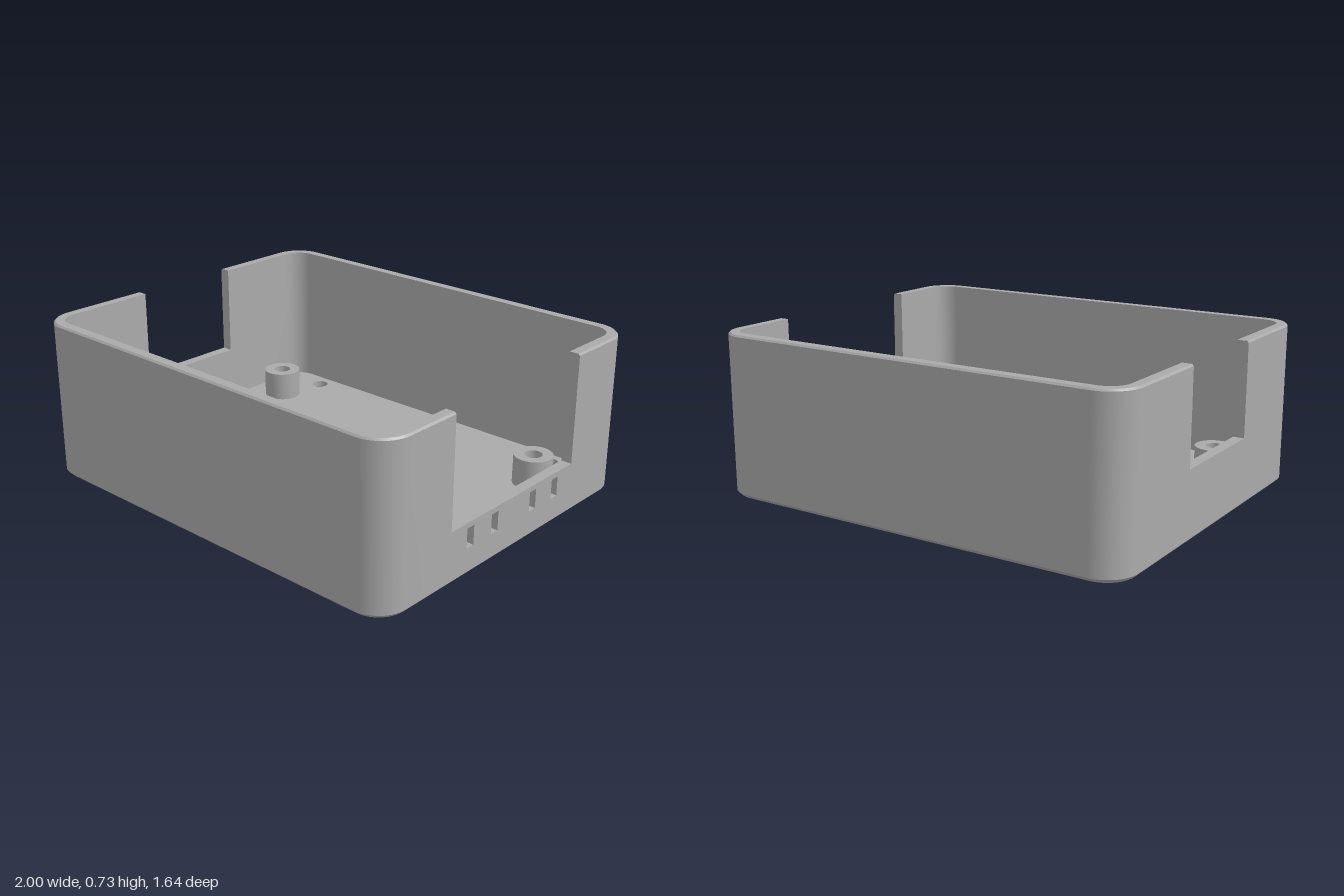
import * as THREE from 'three';
import { toCreasedNormals } from 'three/addons/utils/BufferGeometryUtils.js';

const HX = 1, HZ = 0.818, H = 0.732, R = 0.14;     // half sizes, height, corner radius
const WALL = 0.05, FLOOR = 0.06, CH = 0.018;       // wall, floor and bottom chamfer
const NOTCH_R = { half: 0.415, sill: 0.237 };      // opening in the +x wall
const NOTCH_L = { half: 0.265, sill: 0.311 };      // opening in the -x wall
const POST = { x: 0.778, z: 0.465, r: 0.088, hole: 0.04, top: 0.195, nut: 0.068, nutDepth: 0.08 };
const SCREW = { x: 0.723, z: 0.692, r: 0.04, head: 0.068, sink: 0.032 };
const SIGNS = [[1, 1], [-1, 1], [-1, -1], [1, -1]];

// Rounded corner, inset by d, as [x, z] points running counter-clockwise from angle a0
function corner(sx, sz, a0, d, n = 12) {
  return Array.from({ length: n + 1 }, (_, i) => {
    const a = a0 + (i / n) * Math.PI / 2;
    return [sx * (HX - R) + (R - d) * Math.cos(a), sz * (HZ - R) + (R - d) * Math.sin(a)];
  });
}

// Whole rounded outline, inset by d
const outline = d => SIGNS.flatMap(([sx, sz], i) => corner(sx, sz, i * Math.PI / 2, d));

// Outline of the front half between the two openings, inset by d
const frontPath = d => [
  [HX - d, NOTCH_R.half], ...corner(1, 1, 0, d), ...corner(-1, 1, Math.PI / 2, d), [-HX + d, NOTCH_L.half],
];

// Skin a profile of [inset, y] points along a path; close the profile ends with caps
function loft(path, profile, { closedPath = false, caps = false, mirror = 1 } = {}) {
  const rings = profile.map(([d, y]) => path(d).map(([x, z]) => [x, y, z * mirror]));
  const out = [], n = rings[0].length;
  const tri = (a, b, c) => out.push(...(mirror > 0 ? [...a, ...b, ...c] : [...a, ...c, ...b]));
  for (let k = 0; k < rings.length - 1; k++) {
    for (let i = 0; i < (closedPath ? n : n - 1); i++) {
      const j = (i + 1) % n, a = rings[k], b = rings[k + 1];
      tri(a[i], b[i], b[j]);
      tri(a[i], b[j], a[j]);
    }
  }
  if (caps) {
    const faces = THREE.ShapeUtils.triangulateShape(profile.map(p => new THREE.Vector2(...p)), []);
    for (const [a, b, c] of faces) {
      tri(rings[a][0], rings[c][0], rings[b][0]);
      tri(rings[a][n - 1], rings[b][n - 1], rings[c][n - 1]);
    }
  }
  const g = new THREE.BufferGeometry();
  g.setAttribute('position', new THREE.Float32BufferAttribute(out, 3));
  return toCreasedNormals(g, 0.5);
}

function circlePath(x, y, r, n = 32) {
  const pts = Array.from({ length: n }, (_, i) => {
    const a = -(i / n) * Math.PI * 2;
    return new THREE.Vector2(x + r * Math.cos(a), y + r * Math.sin(a));
  });
  return new THREE.Path(pts);
}

// Flat rounded plate with holes under the posts and screws
function plate(inset, screwR, postR, postSides) {
  const s = new THREE.Shape(outline(inset).map(p => new THREE.Vector2(...p)));
  for (const [sx, sz] of SIGNS) {
    s.holes.push(circlePath(sx * SCREW.x, sz * SCREW.z, screwR));
    s.holes.push(circlePath(sx * POST.x, sz * POST.z, postR, postSides));
  }
  return new THREE.ShapeGeometry(s);
}

// Low wall under an opening, in the z-y plane, with optional slots
function sill({ half, sill: top }, slots) {
  const s = new THREE.Shape();
  s.moveTo(-half, CH).lineTo(half, CH).lineTo(half, top).lineTo(-half, top).closePath();
  for (const z of slots) {
    const w = 0.022, y0 = 0.125, y1 = 0.213;
    const hole = new THREE.Path();
    hole.moveTo(z - w, y0).lineTo(z - w, y1).lineTo(z + w, y1).lineTo(z + w, y0).closePath();
    s.holes.push(hole);
  }
  return new THREE.ExtrudeGeometry(s, { depth: WALL, bevelEnabled: false }).rotateY(-Math.PI / 2);
}

const lathe = pts => toCreasedNormals(
  new THREE.LatheGeometry(pts.map(p => new THREE.Vector2(...p)), 32).toNonIndexed(), 0.5);

export function createModel() {
  const model = new THREE.Group();
  model.name = 'enclosureBase';
  const grey = new THREE.MeshStandardMaterial({ color: 0xaaaaaa, side: THREE.DoubleSide });
  grey.name = 'grey plastic';
  const add = (name, geometry, x = 0, y = 0, z = 0) => {
    const m = new THREE.Mesh(geometry, grey);
    m.name = name;
    m.position.set(x, y, z);
    model.add(m);
  };

  // Front and back walls wrapping round the corners up to the openings
  const wall = [[0, CH], [0, H - 0.008], [0.008, H], [WALL, H], [WALL, CH]];
  add('frontWall', loft(frontPath, wall, { caps: true }));
  add('backWall', loft(frontPath, wall, { caps: true, mirror: -1 }));

  // Sills below the side openings; the left one has vent slots
  add('leftSill', sill(NOTCH_R, [-0.292, -0.132, 0.132, 0.292]), HX);
  add('rightSill', sill(NOTCH_L, []), -HX + WALL);

  // Floor and bottom chamfer
  add('bottomChamfer', loft(outline, [[CH, 0], [0, CH]], { closedPath: true }));
  add('floorUnderside', plate(CH, SCREW.head, POST.nut, 6).rotateX(Math.PI / 2));
  add('floorTop', plate(WALL, SCREW.r, POST.r, 32).rotateX(-Math.PI / 2), 0, FLOOR);

  // Standoff posts with hexagonal nut pockets, and countersunk screw holes
  const post = lathe([[POST.r, FLOOR], [POST.r, POST.top], [POST.hole, POST.top], [POST.hole, POST.nutDepth]]);
  const pocket = new THREE.CylinderGeometry(POST.nut, POST.nut, POST.nutDepth, 6, 1, true, Math.PI / 2);
  const pocketWalls = toCreasedNormals(pocket.toNonIndexed(), 0.1);
  const roof = new THREE.Shape(circlePath(0, 0, POST.nut, 6).getPoints());
  roof.holes.push(circlePath(0, 0, POST.hole));
  const pocketRoof = new THREE.ShapeGeometry(roof).rotateX(Math.PI / 2);
  const screwHole = lathe([[SCREW.head, 0], [SCREW.r, SCREW.sink], [SCREW.r, FLOOR]]);
  for (const [sx, sz] of SIGNS) {
    const x = sx * POST.x, z = sz * POST.z;
    add('standoffPost', post, x, 0, z);
    add('nutPocketWalls', pocketWalls, x, POST.nutDepth / 2, z);
    add('nutPocketRoof', pocketRoof, x, POST.nutDepth, z);
    add('screwHole', screwHole, sx * SCREW.x, 0, sz * SCREW.z);
  }
  return model;
}
